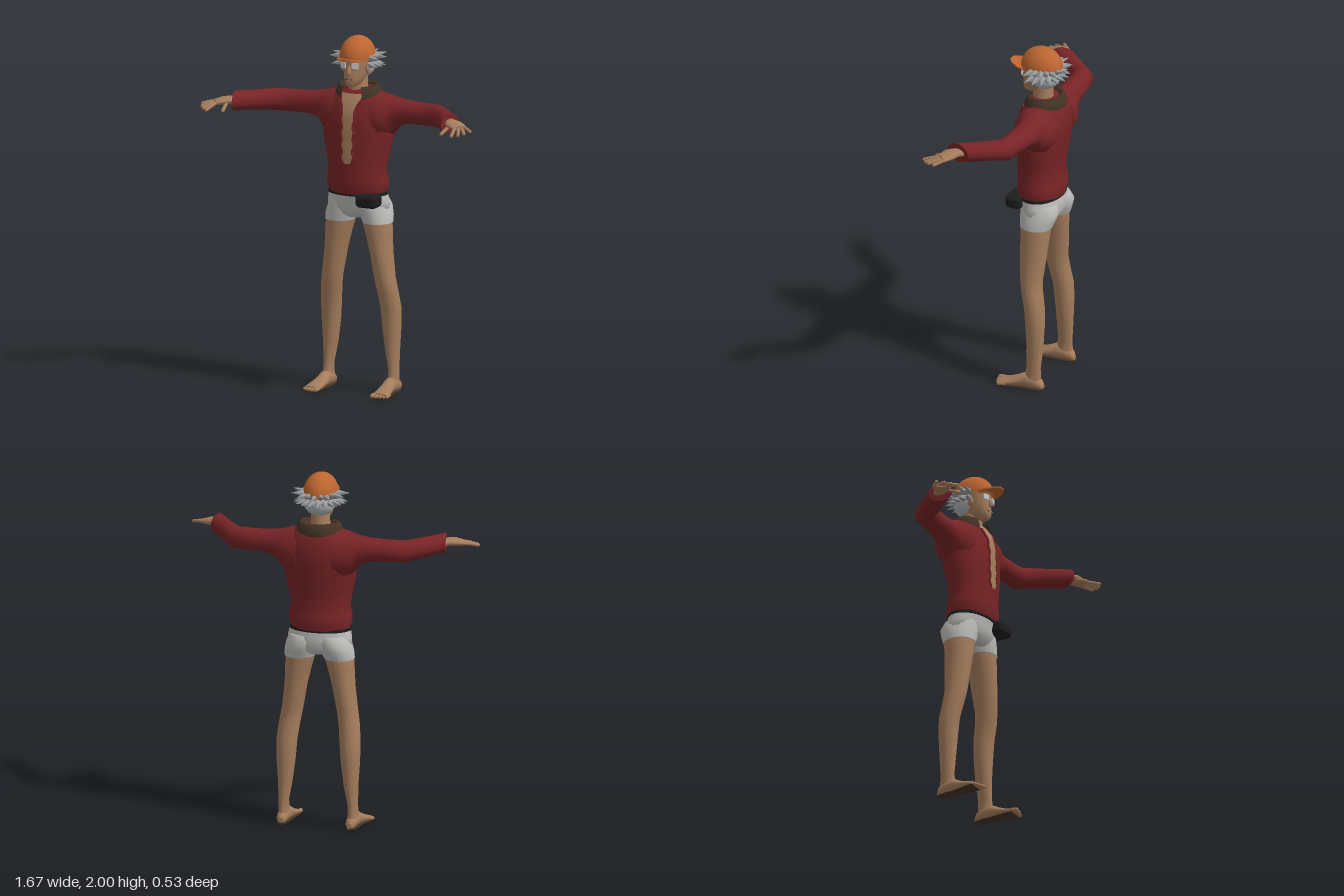
import * as THREE from 'three';
import { RoundedBoxGeometry } from 'three/addons/geometries/RoundedBoxGeometry.js';

const V = (x, y, z) => new THREE.Vector3(x, y, z);
const mat = (name, color, double) => {
  const m = new THREE.MeshStandardMaterial({ color });
  m.name = name;
  if (double) m.side = THREE.DoubleSide;
  return m;
};

// Skin over elliptical rings {c, u, v}; u x v points along the run
function loft(rings, seg = 24) {
  const pos = [], idx = [];
  const addRing = r => {
    for (let j = 0; j < seg; j++) {
      const a = j / seg * Math.PI * 2;
      const p = r.c.clone().addScaledVector(r.u, Math.cos(a)).addScaledVector(r.v, Math.sin(a));
      pos.push(p.x, p.y, p.z);
    }
  };
  rings.forEach(addRing);
  for (let i = 0; i < rings.length - 1; i++)
    for (let j = 0; j < seg; j++) {
      const k = (j + 1) % seg, a = i * seg, b = a + seg;
      idx.push(a + j, a + k, b + k, a + j, b + k, b + j);
    }
  [rings[0], rings[rings.length - 1]].forEach((r, end) => {
    const s = pos.length / 3;
    addRing(r);
    pos.push(r.c.x, r.c.y, r.c.z);
    for (let j = 0; j < seg; j++) {
      const k = (j + 1) % seg;
      idx.push(s + seg, end ? s + j : s + k, end ? s + k : s + j);
    }
  });
  const g = new THREE.BufferGeometry();
  g.setAttribute('position', new THREE.Float32BufferAttribute(pos, 3));
  g.setIndex(idx);
  g.computeVertexNormals();
  return g;
}
// Upright rings [y, cx, cz, rx, rz]
const upright = rows => loft(rows.map(([y, cx, cz, rx, rz]) =>
  ({ c: V(cx, y, cz), u: V(0, 0, rz), v: V(rx, 0, 0) })));
// Arm rings [backX, backZ, frontX, frontZ, bottomY, topY]
const sideways = rows => loft(rows.map(([bx, bz, fx, fz, y0, y1]) => ({
  c: V((bx + fx) / 2, (y0 + y1) / 2, (bz + fz) / 2),
  u: V(0, (y1 - y0) / 2, 0), v: V((fx - bx) / 2, 0, (fz - bz) / 2) })));
// Foot rings [z, cx, rx, bottomY, topY]
const forward = rows => loft(rows.map(([z, cx, rx, y0, y1]) =>
  ({ c: V(cx, (y0 + y1) / 2, z), u: V(rx, 0, 0), v: V(0, (y1 - y0) / 2, 0) })));

// Rounded rod between two points
function rod(a, b, r) {
  const d = b.clone().sub(a);
  const g = new THREE.CapsuleGeometry(r, Math.max(d.length() - 2 * r, 0.001), 4, 8);
  g.applyQuaternion(new THREE.Quaternion().setFromUnitVectors(V(0, 1, 0), d.normalize()));
  return g.translate((a.x + b.x) / 2, (a.y + b.y) / 2, (a.z + b.z) / 2);
}
const ball = (x, y, z, rx, ry, rz) => new THREE.SphereGeometry(1, 20, 14).scale(rx, ry, rz).translate(x, y, z);

function mirrored(geo) {
  const g = geo.clone().scale(-1, 1, 1), i = g.index.array;
  for (let k = 0; k < i.length; k += 3) [i[k], i[k + 1]] = [i[k + 1], i[k]];
  g.computeVertexNormals();
  return g;
}

const TORSO = [
  [1.125, 0, -.11, .168, .122], [1.16, 0, -.108, .178, .13], [1.2, 0, -.107, .18, .13],
  [1.25, 0, -.1, .167, .122], [1.35, 0, -.105, .185, .128], [1.42, 0, -.112, .203, .133],
  [1.5, 0, -.118, .212, .138], [1.58, 0, -.125, .21, .137], [1.65, 0, -.13, .18, .115],
  [1.69, 0, -.13, .135, .09], [1.71, 0, -.13, .09, .07]];
function chestZ(x, y) {
  const i = Math.max(1, TORSO.findIndex(r => r[0] >= y)), a = TORSO[i - 1], b = TORSO[i];
  const t = (y - a[0]) / (b[0] - a[0]), m = k => a[k] + (b[k] - a[k]) * t;
  return m(2) + m(4) * Math.sqrt(1 - (x / m(3)) ** 2);
}

export function createModel() {
  const skin = mat('skin', 0xa57d5c, true), red = mat('jacket red', 0x782426);
  const brown = mat('dark brown', 0x433325, true), orange = mat('cap orange', 0xbd6530, true);
  const shortsGrey = mat('shorts grey', 0xbcbcba), black = mat('black', 0x1d1d1f);
  const hairGrey = mat('hair grey', 0xb0b3b5), spikeGrey = mat('spike grey', 0x94989b);
  spikeGrey.flatShading = true;
  const lensGrey = mat('lens grey', 0xc6cacd);
  const root = new THREE.Group();
  const add = (name, geo, m) => {
    const mesh = new THREE.Mesh(geo, m);
    mesh.name = name;
    root.add(mesh);
  };
  const pair = (name, geo, m) => {
    add(name + 'Left', geo, m);
    add(name + 'Right', mirrored(geo), m);
  };

  // Jacket body and sleeves
  add('jacketBody', upright(TORSO), red);
  pair('sleeve', sideways([
    [.1, -.25, .1, -.01, 1.42, 1.695], [.16, -.245, .16, -.01, 1.42, 1.685],
    [.205, -.225, .2, -.04, 1.455, 1.673], [.245, -.21, .24, -.06, 1.505, 1.665],
    [.3, -.203, .3, -.062, 1.527, 1.657], [.4, -.187, .39, -.06, 1.53, 1.653],
    [.51, -.17, .475, -.055, 1.53, 1.653], [.6, -.07, .56, .05, 1.545, 1.655],
    [.68, .02, .645, .158, 1.553, 1.66]]), red);

  // Bare chest strip with ragged jacket edges
  const pts = [], idx = [], edges = [[], []];
  const jag = [.02, .034, .027, .037, .03, .036, .029, .037, .034, .04, .055, .065];
  jag.forEach((w, i) => {
    const y = 1.3 + i * .035;
    [-w, -w / 2, 0, w / 2, w].forEach((x, k) => {
      const z = chestZ(x, y) + .005;
      pts.push(x, y, z);
      if (k % 4 === 0 && i < 11) edges[k / 4].push(V(x * 1.1, y, z));
      if (i && k) {
        const n = i * 5 + k;
        idx.push(n - 6, n - 5, n, n - 6, n, n - 1);
      }
    });
  });
  const chest = new THREE.BufferGeometry();
  chest.setAttribute('position', new THREE.Float32BufferAttribute(pts, 3));
  chest.setIndex(idx);
  chest.computeVertexNormals();
  add('bareChest', chest, skin);
  edges.forEach(e => add('jacketEdge', new THREE.TubeGeometry(new THREE.CatmullRomCurve3(e), 40, .007, 6), red));

  // Folded collar, open in front
  const collar = new THREE.LatheGeometry([[.075, 1.67], [.085, 1.715], [.105, 1.732], [.118, 1.72], [.135, 1.682], [.128, 1.66]]
    .map(p => new THREE.Vector2(...p)), 28, .5, Math.PI * 2 - 1);
  collar.scale(1, 1, .87).translate(0, 0, -.125);
  const cp = collar.attributes.position;
  for (let i = 0; i < cp.count; i++) cp.setY(i, cp.getY(i) - Math.max(0, cp.getZ(i) + .09) * .2);
  collar.computeVertexNormals();
  add('collar', collar, brown);

  // Neck, head and face
  add('neck', upright([[1.62, 0, -.11, .07, .07], [1.68, 0, -.11, .055, .06], [1.8, 0, -.11, .05, .055]]), skin);
  add('head', upright([
    [1.728, 0, -.055, .02, .045], [1.738, 0, -.058, .036, .062], [1.765, 0, -.07, .053, .078],
    [1.8, 0, -.085, .064, .09], [1.85, 0, -.095, .074, .1], [1.9, 0, -.1, .08, .106]]), skin);
  add('nose', upright([[1.798, 0, .002, .012, .014], [1.81, 0, .006, .014, .021],
    [1.835, 0, 0, .009, .015], [1.86, 0, -.006, .007, .008]]), skin);
  add('mouth', new THREE.BoxGeometry(.042, .006, .008).translate(0, 1.77, .002), brown);
  pair('lens', new THREE.BoxGeometry(.036, .03, .008).rotateY(.3).translate(.036, 1.848, .001), lensGrey);
  pair('ear', ball(.077, 1.825, -.075, .012, .027, .018), skin);

  // Hair at the back and a crown of spikes
  add('backHair', ball(0, 1.835, -.127, .09, .075, .084), hairGrey);
  [[13, 1.882, .075, .022], [12, 1.845, .065, .019]].forEach(([n, y, len, r], row) => {
    for (let i = 0; i < n; i++) {
      const a = 1.25 + (Math.PI * 2 - 2.5) * i / (n - 1), lift = row ? -.15 : .25 * (i % 2);
      const g = new THREE.ConeGeometry(r, len, 6).translate(0, len / 2, 0);
      g.rotateX(Math.PI / 2 - lift).translate(0, 0, .088).rotateY(a).translate(0, y, -.11);
      add('hairSpike', g, spikeGrey);
    }
  });

  // Cap and curved brim
  add('cap', new THREE.SphereGeometry(1, 28, 12, 0, Math.PI * 2, 0, Math.PI * .53)
    .scale(.095, .115, .121).translate(0, 1.885, -.103), orange);
  const outline = new THREE.Shape([[-.078, -.03], [.078, -.03], [.068, .02], [.045, .06], [.02, .082], [-.02, .082], [-.045, .06], [-.068, .02]]
    .map(p => new THREE.Vector2(...p)));
  const brim = new THREE.ExtrudeGeometry(outline, { depth: .008, bevelEnabled: false }).rotateX(Math.PI / 2);
  const bp = brim.attributes.position;
  for (let i = 0; i < bp.count; i++) bp.setY(i, bp.getY(i) + 1.9 - 3 * bp.getX(i) ** 2);
  brim.computeVertexNormals();
  add('capBrim', brim, orange);

  // Hands
  pair('palm', sideways([
    [.655, .03, .625, .09, 1.585, 1.63], [.692, .065, .655, .13, 1.588, 1.632],
    [.74, .082, .68, .165, 1.585, 1.63], [.785, .115, .73, .182, 1.585, 1.612]]), skin);
  [[[.77, 1.6, .122], [.832, 1.586, .165]], [[.762, 1.6, .14], [.812, 1.578, .208]],
    [[.75, 1.6, .155], [.788, 1.572, .236]], [[.735, 1.6, .168], [.757, 1.57, .26]],
    [[.685, 1.6, .14], [.672, 1.565, .222]]]
    .forEach(([a, b]) => pair('finger', rod(V(...a), V(...b), .01), skin));

  // Shorts, belt and pouch
  add('shortsTop', upright([
    [.985, 0, -.125, .08, .075], [1.005, 0, -.125, .15, .095], [1.04, 0, -.122, .185, .11],
    [1.08, 0, -.12, .182, .112], [1.13, 0, -.11, .17, .115]]), shortsGrey);
  pair('shortsLeg', upright([
    [.958, .1145, -.123, .084, .092], [1, .104, -.129, .092, .102],
    [1.05, .092, -.136, .09, .112], [1.09, .085, -.128, .08, .1]]), shortsGrey);
  add('belt', upright([[1.115, 0, -.11, .175, .12], [1.132, 0, -.11, .174, .121]]), black);
  add('beltPouch', new RoundedBoxGeometry(.13, .076, .1, 3, .026).translate(.115, 1.098, -.006), black);

  // Legs
  pair('leg', upright([
    [1, .105, -.123, .08, .086], [.955, .1135, -.123, .081, .087], [.9, .123, -.12, .074, .083],
    [.8, .138, -.119, .063, .078], [.65, .16, -.117, .059, .064], [.58, .172, -.126, .059, .061],
    [.48, .183, -.146, .058, .058], [.38, .186, -.151, .054, .054], [.25, .19, -.152, .041, .048],
    [.13, .2, -.148, .027, .042], [.08, .2, -.146, .029, .046], [.04, .2, -.145, .03, .048]]), skin);

  // Feet with dark soles and five toes
  const FOOT = [[-.207, .198, .014, .04], [-.192, .2, .028, .065], [-.15, .2, .034, .088], [-.1, .2, .035, .092],
    [-.05, .203, .04, .066], [0, .208, .048, .045], [.045, .211, .05, .03]];
  pair('foot', forward(FOOT.map(([z, x, r, h]) => [z, x, r, .006, h])), skin);
  pair('sole', forward(FOOT.map(([z, x, r]) => [z, x, r * .97, 0, .016])), brown);
  [[.172, .08, .013], [.195, .076, .01], [.215, .07, .01], [.234, .062, .009], [.251, .052, .009]].forEach(([x, z, r]) =>
    pair('toe', rod(V(x, .02, z - .05), V(x + .003, r + .003, z), r), skin));
  return root;
}
